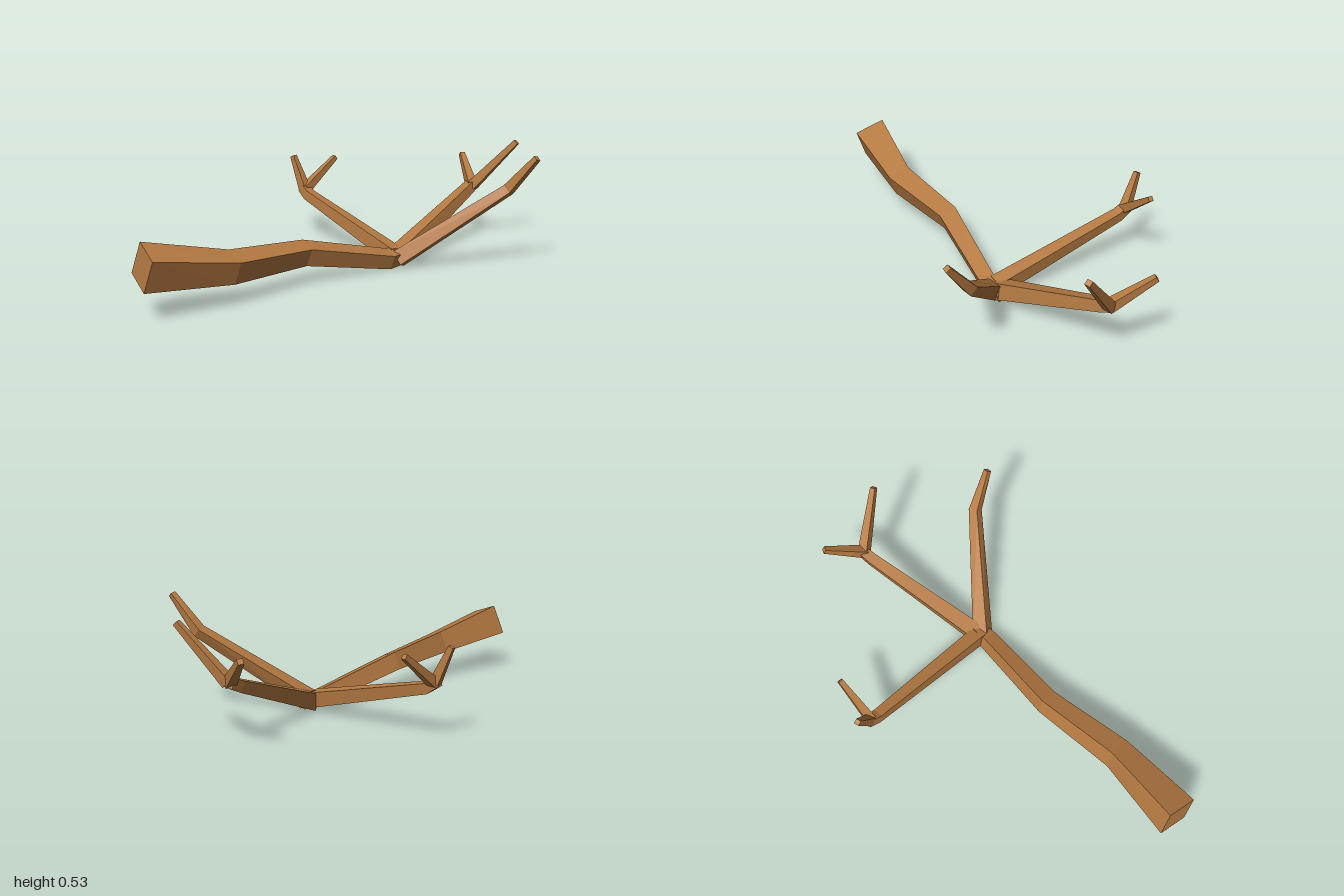
import * as THREE from 'three';

const bark = new THREE.MeshStandardMaterial({ color: 0xb57a42, flatShading: true });

// Square-section limb: each stop is [x, y, z, side length]; roll turns the section about its path.
function limb(name, stops, roll = 0) {
  const pts = stops.map(([x, y, z]) => new THREE.Vector3(x, y, z));
  const up = new THREE.Vector3(0, 1, 0);
  const pos = [], idx = [];
  const n = pts.length;
  for (let i = 0; i < n; i++) {
    const dir = new THREE.Vector3();
    if (i > 0) dir.add(pts[i].clone().sub(pts[i - 1]).normalize());
    if (i < n - 1) dir.add(pts[i + 1].clone().sub(pts[i]).normalize());
    dir.normalize();
    const side = dir.clone().cross(up).normalize();
    const top = side.clone().cross(dir);
    const s = side.clone().applyAxisAngle(dir, -roll);
    const t = top.clone().applyAxisAngle(dir, -roll);
    if (t.dot(side) * roll < 0) { // keep positive roll leaning the top towards the side
      s.copy(side).applyAxisAngle(dir, roll);
      t.copy(top).applyAxisAngle(dir, roll);
    }
    const h = stops[i][3] / 2;
    for (const [a, b] of [[1, 1], [-1, 1], [-1, -1], [1, -1]]) {
      const p = pts[i].clone().addScaledVector(s, a * h).addScaledVector(t, b * h);
      pos.push(p.x, p.y, p.z);
    }
  }
  for (let i = 0; i < n - 1; i++) {
    for (let j = 0; j < 4; j++) {
      const a = i * 4 + j, b = i * 4 + (j + 1) % 4;
      idx.push(a, a + 4, b, b, a + 4, b + 4);
    }
  }
  // end caps
  const e = (n - 1) * 4;
  idx.push(0, 1, 2, 0, 2, 3, e, e + 2, e + 1, e, e + 3, e + 2);
  // side, top and path form a left-handed set, so flip every triangle outward if needed
  const vol = signedVolume(pos, idx);
  if (vol < 0) for (let k = 0; k < idx.length; k += 3) [idx[k + 1], idx[k + 2]] = [idx[k + 2], idx[k + 1]];
  const indexed = new THREE.BufferGeometry();
  indexed.setAttribute('position', new THREE.Float32BufferAttribute(pos, 3));
  indexed.setIndex(idx);
  const geo = indexed.toNonIndexed();
  geo.computeVertexNormals();
  const mesh = new THREE.Mesh(geo, bark);
  mesh.name = name;
  return mesh;
}

function signedVolume(pos, idx) {
  const v = (i) => new THREE.Vector3().fromArray(pos, i * 3);
  let sum = 0;
  for (let k = 0; k < idx.length; k += 3) sum += v(idx[k]).dot(v(idx[k + 1]).cross(v(idx[k + 2])));
  return sum;
}

export function createModel() {
  const group = new THREE.Group();
  group.name = 'branch';

  // thick main stem, tapering down to the fork
  group.add(limb('stem', [
    [-0.985, 0.22, 0.217, 0.145], [-0.6, 0.16, 0.228, 0.103], [-0.21, 0.138, 0.156, 0.082],
    [0.22, 0.045, 0.175, 0.068], [0.33, 0.05, 0.16, 0.06],
  ], 0.33));

  // front branch with one bend
  group.add(limb('frontBranch', [
    [0.27, 0.038, 0.18, 0.07], [0.655, 0.365, 0.465, 0.044], [0.706, 0.52, 0.583, 0.024],
  ], -0.4));

  // left branch and its two twigs
  group.add(limb('leftBranch', [[0.29, 0.045, 0.155, 0.075], [0.82, 0.238, -0.025, 0.05], [0.875, 0.262, -0.04, 0.046]], -0.15));
  group.add(limb('leftFrontTwig', [[0.87, 0.258, -0.03, 0.045], [0.985, 0.49, 0.145, 0.024]], -0.2));
  group.add(limb('leftBackTwig', [[0.865, 0.258, -0.03, 0.045], [0.935, 0.38, -0.195, 0.024]], 0.1));

  // back branch and its two twigs
  group.add(limb('backBranch', [[0.268, 0.05, 0.16, 0.068], [0.214, 0.205, -0.48, 0.046], [0.212, 0.235, -0.53, 0.042]], 0.12));
  group.add(limb('backUpperTwig', [[0.212, 0.232, -0.52, 0.042], [0.19, 0.385, -0.587, 0.023]]));
  group.add(limb('backSideTwig', [[0.215, 0.23, -0.515, 0.042], [0.395, 0.367, -0.525, 0.022]]));

  return group;
}
